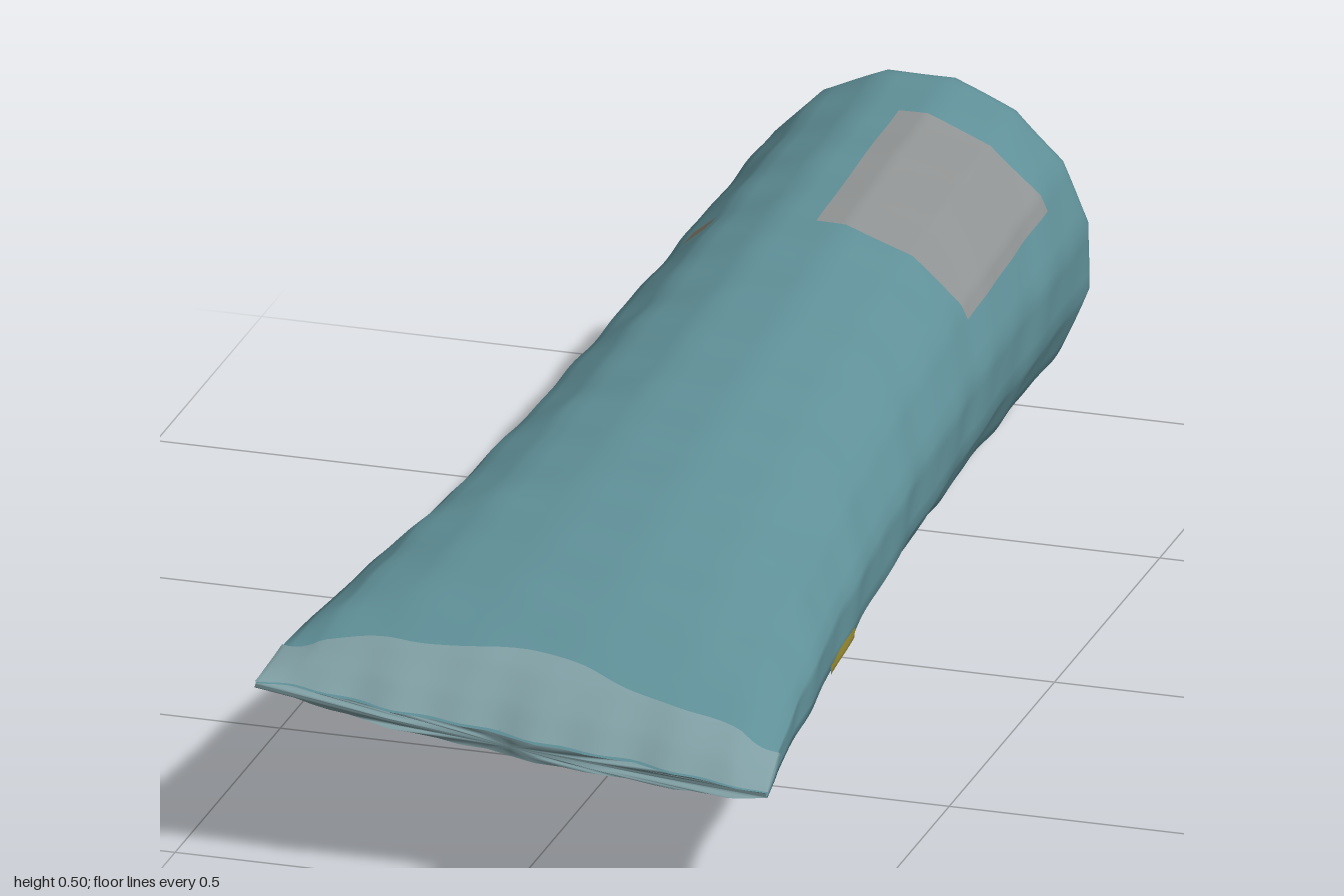
import * as THREE from 'three';
import { mergeVertices } from 'three/addons/utils/BufferGeometryUtils.js';

const SIDES = 16;

// Cross-sections: z, centre y, half width, half height, sideways slope, squareness
const STATIONS = [
  [-1.0, 0.255, 0.242, 0.238, 0, 1],
  [-0.992, 0.255, 0.251, 0.247, 0, 1],
  [-0.975, 0.255, 0.255, 0.251, 0, 1],
  [-0.5, 0.256, 0.266, 0.23, 0.01, 1],
  [0, 0.251, 0.289, 0.192, 0.04, 0.96],
  [0.3, 0.25, 0.31, 0.162, 0.07, 0.92],
  [0.5, 0.252, 0.328, 0.137, 0.085, 0.88],
  [0.7, 0.252, 0.35, 0.106, 0.095, 0.86],
  [0.8, 0.25, 0.36, 0.086, 0.1, 0.85],
  [0.9, 0.245, 0.371, 0.06, 0.105, 0.85],
  [0.96, 0.235, 0.378, 0.036, 0.11, 0.85],
  [1.0, 0.226, 0.384, 0.014, 0.11, 0.85],
];

function section(z) {
  let i = 0;
  while (i < STATIONS.length - 2 && z > STATIONS[i + 1][0]) i++;
  const [a, b] = [STATIONS[i], STATIONS[i + 1]];
  const t = THREE.MathUtils.clamp((z - a[0]) / (b[0] - a[0]), 0, 1);
  return a.map((v, k) => v + (b[k] - v) * t);
}

// Point on the faceted skin; deg runs from the +x side up over the top
function skin(deg, z, lift = 0, scale = 1) {
  const [, cy, w, h, slope, square] = section(z);
  const f = deg / 360 * SIDES - 0.5;
  const k = Math.floor(f), t = f - k;
  const step = Math.PI * 2 / SIDES;
  const a0 = (k + 0.5) * step, a1 = a0 + step;
  const r = 1.012;
  const c = r * ((1 - t) * Math.cos(a0) + t * Math.cos(a1));
  const s0 = r * ((1 - t) * Math.sin(a0) + t * Math.sin(a1));
  const s = Math.sign(s0) * Math.abs(s0) ** square;
  // gentle hand-shaped unevenness
  const th = THREE.MathUtils.degToRad(deg);
  const bump = 0.0014 * (Math.sin(z * 23 + 5 * Math.sin(th)) + Math.sin(z * 41 + 2 * th) * Math.cos(7 * th));
  const fade = Math.min(1, h / 0.1);
  const x = c * (w + bump + lift) * scale;
  const y = s * (h + bump * fade + lift) * scale;
  // the front edge sags in the middle and is slightly ragged
  const front = Math.max(0, z) ** 8;
  const ragged = front * 0.004 * (Math.sin(x * 27) + Math.sin(x * 61) - 1.5);
  return [x - 0.005 * (1 - z), cy + y - slope * x + 0.07 * x * x * front, z + ragged];
}

// Grid surface from fn(u, v), both 0..1
function grid(name, color, nu, nv, fn) {
  const pos = [], idx = [];
  for (let j = 0; j <= nv; j++)
    for (let i = 0; i <= nu; i++) pos.push(...fn(i / nu, j / nv));
  for (let j = 0; j < nv; j++)
    for (let i = 0; i < nu; i++) {
      const a = j * (nu + 1) + i, b = a + nu + 1;
      idx.push(a, a + 1, b, a + 1, b + 1, b);
    }
  let g = new THREE.BufferGeometry();
  g.setAttribute('position', new THREE.Float32BufferAttribute(pos, 3));
  g.setIndex(idx);
  g = mergeVertices(g, 1e-5);
  g.computeVertexNormals();
  const mesh = new THREE.Mesh(g, new THREE.MeshStandardMaterial({ color }));
  mesh.name = name;
  return mesh;
}

// Coloured area lying just above the skin
const patch = (name, color, d0, d1, z0, z1) =>
  grid(name, color, 32, 16, (u, v) => skin(d0 + (d1 - d0) * u, z0 + (z1 - z0) * v, 0.003));

export function createModel() {
  const model = new THREE.Group();
  const teal = 0x5f8f97, yellow = 0x968a32, rust = 0x7d7460;

  // Tapering body, round at the back and flattened to a wide edge in front
  model.add(grid('body', teal, SIDES * 4, 200, (u, v) => skin(u * 360, -1 + 2 * v)));

  // Back end: nearly flat with an uneven pit in the middle
  model.add(grid('backEnd', teal, SIDES * 4, 20, (u, v) => {
    const p = skin(u * 360, -1, 0, v);
    const a = u * Math.PI * 2;
    const pit = Math.exp(-((v / (0.3 + 0.08 * Math.sin(2 * a + 1))) ** 2));
    p[2] += 0.045 * pit + 0.005 * Math.sin(v * Math.PI) * (1 + Math.sin(5 * a));
    return p;
  }));

  // Thin closing face of the front edge
  model.add(grid('frontEdge', 0x7f9ea3, SIDES * 4, 2, (u, v) => skin(u * 360, 1, 0, 1 - v)));

  // Worn light band along the top of the edge, with a wavy border
  model.add(grid('wornEdge', 0x7f9ea3, 64, 12, (u, v) => {
    const start = 0.885 + 0.02 * Math.sin(u * 9) + 0.01 * Math.sin(u * 23);
    return skin(3 + 174 * u, start + (0.998 - start) * v, 0.002);
  }));

  // Grey area and yellow mark that wraps under the body
  model.add(patch('greyPatch', 0x8f9292, 28, 88, -0.85, -0.45));
  model.add(patch('yellowMark', yellow, -62, -6, 0.36, 0.51));
  model.add(patch('yellowStripe', yellow, -165, -62, 0.43, 0.55));

  // Small rust spots
  for (const [d, z] of [[133, -0.5], [-65, -0.22], [-62, -0.64]])
    model.add(patch('rustSpot', rust, d - 5, d + 5, z - 0.025, z + 0.025));

  return model;
}
